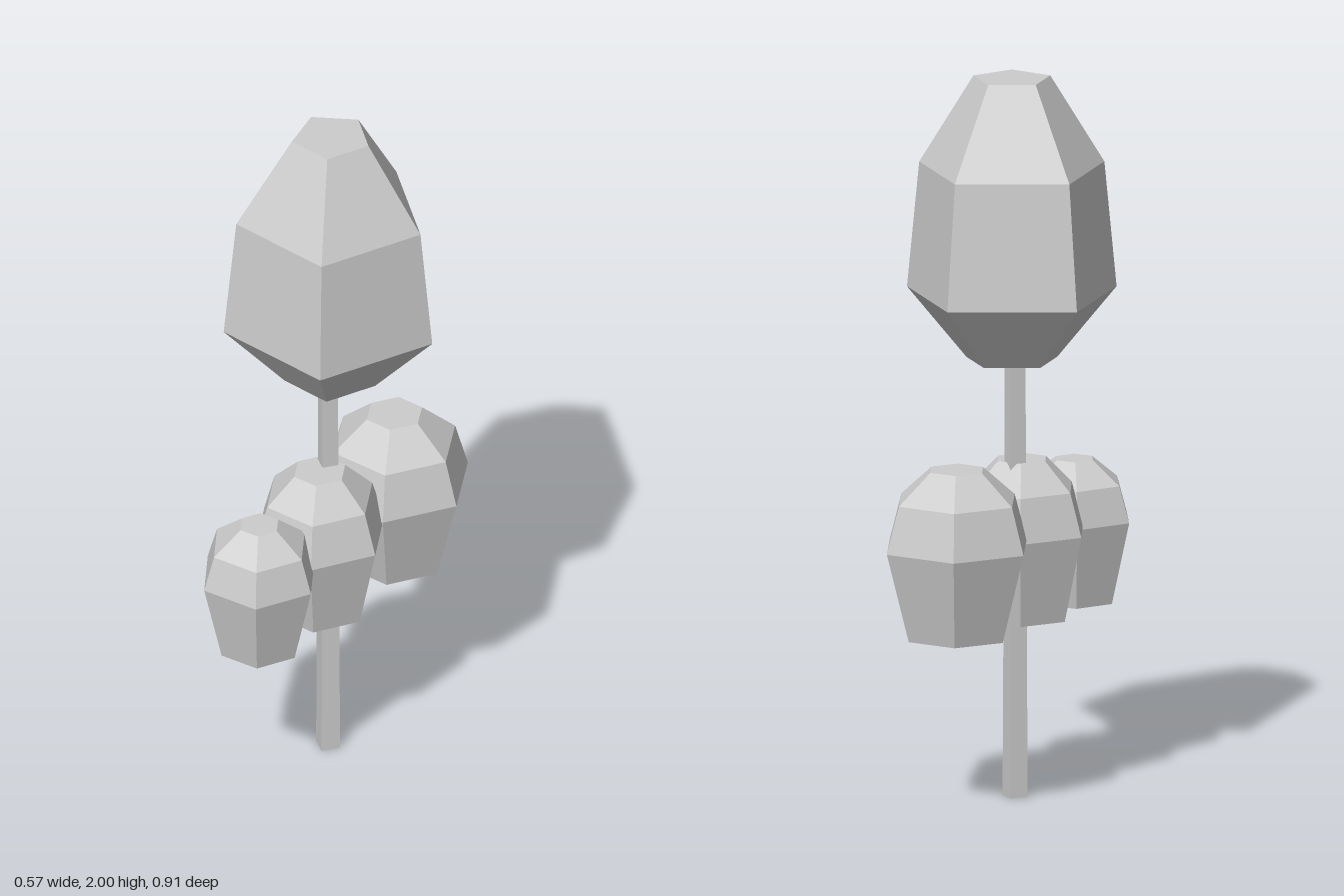
import * as THREE from 'three';

const grey = new THREE.MeshStandardMaterial({ color: 0xcccccc, flatShading: true });
grey.name = 'light grey';

// Closed faceted solid: rings of [radius, height], first corner turned `deg` from +z towards +x
function faceted(name, sides, deg, x, z, rings) {
  const profile = [[0, rings[0][1]], ...rings, [0, rings[rings.length - 1][1]]]
    .map(([r, y]) => new THREE.Vector2(r, y));
  const geometry = new THREE.LatheGeometry(profile, sides, THREE.MathUtils.degToRad(deg)).toNonIndexed();
  geometry.computeVertexNormals();
  const mesh = new THREE.Mesh(geometry, grey);
  mesh.name = name;
  mesh.position.set(x, 0, z);
  return mesh;
}

export function createModel() {
  const tree = new THREE.Group();
  tree.name = 'tree';

  // Slim four-sided trunk running up into the crown
  tree.add(faceted('trunk', 4, 10, -0.009, -0.003, [[0.037, 0], [0.03, 1.3]]));

  // Tall five-sided crown
  tree.add(faceted('crown', 5, 176.5, -0.003, -0.01,
    [[0.13, 1.215], [0.3, 1.4], [0.265, 1.75], [0.11, 2]]));

  // Row of three six-sided foliage clumps, growing from front to back
  const clumps = [
    ['frontClump', 95, -0.008, 0.3, [[0.115, 0.49], [0.168, 0.72], [0.138, 0.82], [0.057, 0.885]]],
    ['middleClump', 91, 0, 0.045, [[0.137, 0.49], [0.19, 0.73], [0.155, 0.85], [0.075, 0.93]]],
    ['backClump', 90, 0.01, -0.27, [[0.148, 0.49], [0.215, 0.74], [0.178, 0.87], [0.081, 0.955]]],
  ];
  for (const [name, deg, x, z, rings] of clumps) tree.add(faceted(name, 6, deg, x, z, rings));

  return tree;
}
